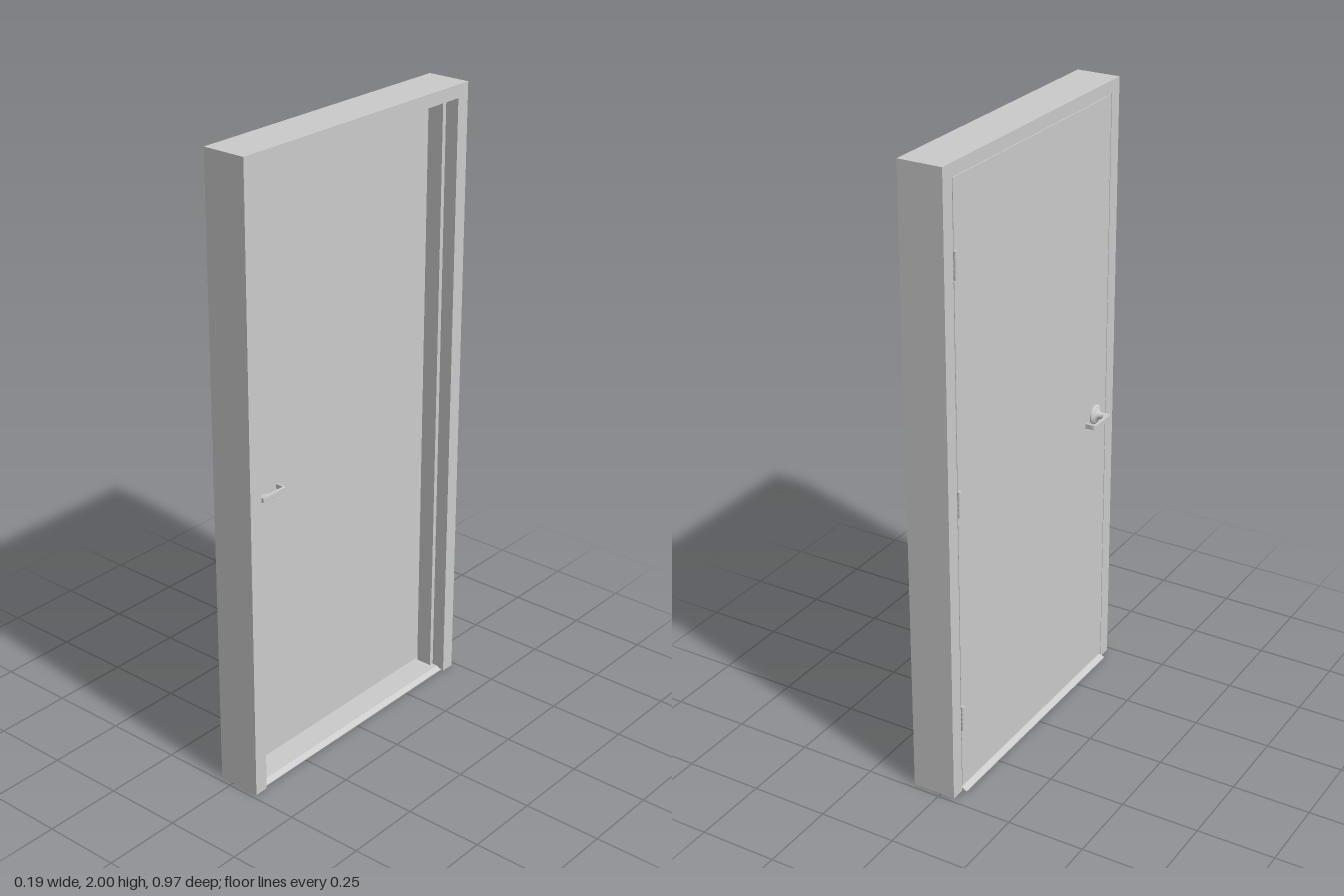
import * as THREE from 'three';

const material = new THREE.MeshStandardMaterial({ color: 0xcccccc });
const sheet = new THREE.MeshStandardMaterial({ color: 0xcccccc, side: THREE.DoubleSide, flatShading: true });

function addMesh(parent, name, geometry, x = 0, y = 0, z = 0, mat = material) {
  const mesh = new THREE.Mesh(geometry, mat);
  mesh.name = name;
  mesh.position.set(x, y, z);
  parent.add(mesh);
  return mesh;
}

// Hollow double-rabbet frame: a profile of [x, inset] swept up, across and down
function frameGeometry() {
  const profile = [
    [-0.047, 0], [-0.047, 0.046], [-0.003, 0.046], [-0.003, 0.061],
    [0.051, 0.061], [0.051, 0.046], [0.095, 0.046], [0.095, 0],
  ];
  const stations = [[1, 0], [1, 1], [-1, 1], [-1, 0]]; // side, at head
  const point = ([x, d], [side, head]) =>
    [x, head ? 2 - (d ? d - 0.005 : 0) : 0, side * (0.485 - d)];
  const positions = [];
  for (let s = 0; s < 3; s++) {
    for (let i = 0; i < profile.length; i++) {
      const p = profile[i], q = profile[(i + 1) % profile.length];
      const a = point(p, stations[s]), b = point(q, stations[s]);
      const c = point(q, stations[s + 1]), d = point(p, stations[s + 1]);
      positions.push(...a, ...b, ...c, ...a, ...c, ...d);
    }
  }
  const geometry = new THREE.BufferGeometry();
  geometry.setAttribute('position', new THREE.Float32BufferAttribute(positions, 3));
  geometry.computeVertexNormals();
  return geometry;
}

// Low saddle with sloped edges
function thresholdGeometry() {
  const shape = new THREE.Shape([
    [-0.062, 0], [0.087, 0], [0.087, 0.003], [0.07, 0.011], [-0.045, 0.011], [-0.062, 0.003],
  ].map(([x, y]) => new THREE.Vector2(x, y)));
  return new THREE.ExtrudeGeometry(shape, { depth: 0.874, bevelEnabled: false }).translate(0, 0, -0.437);
}

// Lever handle pointing out along +x, with the lever running towards -z
function createHandle(name) {
  const handle = new THREE.Group();
  handle.name = name;

  const rose = [
    [0.032, 0], [0.032, 0.004], [0.032, 0.004], [0.027, 0.008], [0.027, 0.008],
    [0.016, 0.012], [0.0115, 0.019], [0.0105, 0.03], [0.0105, 0.05], [0.0105, 0.05], [0, 0.05],
  ].map(([r, h]) => new THREE.Vector2(r, h));
  addMesh(handle, 'rose', new THREE.LatheGeometry(rose, 32).rotateZ(-Math.PI / 2));

  // Lever outline in (z, x), extruded upwards
  const outline = new THREE.Shape();
  outline.moveTo(0.009, 0.032);
  outline.lineTo(0.009, 0.051);
  outline.lineTo(-0.078, 0.05);
  outline.quadraticCurveTo(-0.09, 0.05, -0.09, 0.038);
  outline.lineTo(-0.09, 0.018);
  outline.lineTo(-0.085, 0.018);
  outline.lineTo(-0.085, 0.037);
  outline.quadraticCurveTo(-0.085, 0.044, -0.077, 0.044);
  outline.lineTo(-0.035, 0.043);
  outline.quadraticCurveTo(-0.015, 0.041, -0.008, 0.032);
  const lever = new THREE.ExtrudeGeometry(outline, {
    depth: 0.012, bevelThickness: 0.002, bevelSize: 0.001, bevelSegments: 2, curveSegments: 8,
  }).translate(0, 0, -0.006);
  lever.applyMatrix4(new THREE.Matrix4().makeBasis(
    new THREE.Vector3(0, 0, 1), new THREE.Vector3(1, 0, 0), new THREE.Vector3(0, 1, 0)));
  addMesh(handle, 'lever', lever);
  return handle;
}

// Butt hinge: five knuckles on a pin, with a leaf in the door gap
function createHinge() {
  const hinge = new THREE.Group();
  hinge.name = 'hinge';
  for (let i = -2; i <= 2; i++) {
    addMesh(hinge, 'knuckle', new THREE.CylinderGeometry(0.006, 0.006, 0.0155, 16), 0, i * 0.0165, 0);
  }
  addMesh(hinge, 'pin', new THREE.CylinderGeometry(0.0045, 0.0045, 0.086, 16));
  addMesh(hinge, 'leaf', new THREE.BoxGeometry(0.04, 0.082, 0.002), 0.02, 0, 0);
  return hinge;
}

export function createModel() {
  const model = new THREE.Group();
  model.name = 'door';

  addMesh(model, 'frame', frameGeometry(), 0, 0, 0, sheet);
  addMesh(model, 'threshold', thresholdGeometry());
  addMesh(model, 'doorPanel', new THREE.BoxGeometry(0.041, 1.939, 0.872), -0.0265, 0.9875, 0);

  // Handles on both faces
  const inner = createHandle('innerHandle');
  inner.position.set(-0.006, 0.94, 0.368);
  const outer = createHandle('outerHandle');
  outer.position.set(-0.047, 0.94, 0.368);
  outer.rotation.z = Math.PI;
  model.add(inner, outer);

  for (const y of [0.265, 0.99, 1.713]) {
    const hinge = createHinge();
    hinge.position.set(-0.053, y, -0.437);
    model.add(hinge);
  }
  return model;
}
